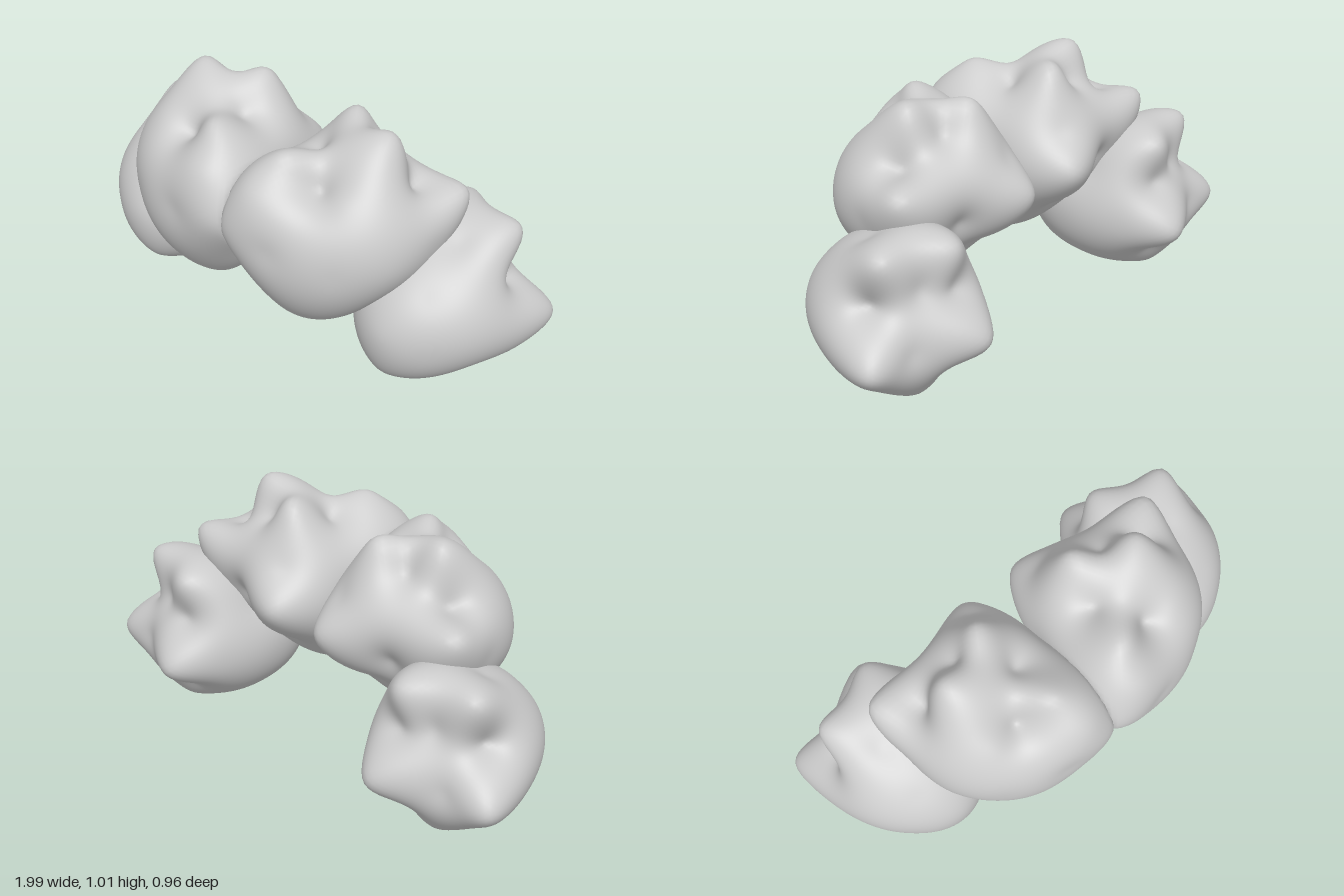
import * as THREE from 'three';
import { mergeVertices } from 'three/addons/utils/BufferGeometryUtils.js';

const V = (a) => new THREE.Vector3(...a);
// Radial kernel between two unit directions, slightly rounded at the tips
const kernel = (a, b) => Math.sqrt(a.distanceToSquared(b) + 0.012);
// Distance from the centre to an ellipsoid along a direction
const ellipsoid = (d, radii) => 1 / d.clone().divide(radii).length();

// Gaussian elimination with pivoting
function solve(A, b) {
  const n = b.length;
  for (let i = 0; i < n; i++) {
    let p = i;
    for (let r = i + 1; r < n; r++) if (Math.abs(A[r][i]) > Math.abs(A[p][i])) p = r;
    [A[i], A[p]] = [A[p], A[i]];
    [b[i], b[p]] = [b[p], b[i]];
    for (let r = i + 1; r < n; r++) {
      const f = A[r][i] / A[i][i];
      for (let c = i; c < n; c++) A[r][c] -= f * A[i][c];
      b[r] -= f * b[i];
    }
  }
  for (let i = n - 1; i >= 0; i--) {
    for (let c = i + 1; c < n; c++) b[i] -= A[i][c] * b[c];
    b[i] /= A[i][i];
  }
  return b;
}

// Ellipsoid pulled out to its tips and pushed in to its valleys
function tuftGeometry(tuft, side) {
  const centre = V(tuft.centre);
  const radii = V(tuft.radii);
  const offsets = [...tuft.tips, ...tuft.swells, ...tuft.valleys].map((p) => V(p).sub(centre));
  const dirs = offsets.map((o) => o.clone().normalize());
  const weights = solve(
    dirs.map((a) => dirs.map((b) => kernel(a, b))),
    offsets.map((o, i) => o.length() - ellipsoid(dirs[i], radii))
  );
  let geo = new THREE.IcosahedronGeometry(1, 22);
  geo.deleteAttribute('uv');
  geo.deleteAttribute('normal');
  geo = mergeVertices(geo, 1e-5);
  const pos = geo.attributes.position;
  const d = new THREE.Vector3();
  for (let i = 0; i < pos.count; i++) {
    d.fromBufferAttribute(pos, i).normalize();
    const r = dirs.reduce((s, k, j) => s + weights[j] * kernel(d, k), ellipsoid(d, radii));
    d.multiplyScalar(r).add(centre);
    // flat seam on the middle plane, standing on the ground
    pos.setXYZ(i, Math.max(d.x, 0) * side, Math.max(d.y, 0), d.z);
  }
  if (side < 0) {
    // keep faces outward on the mirrored side
    const idx = geo.index.array;
    for (let i = 0; i < idx.length; i += 3) [idx[i], idx[i + 1]] = [idx[i + 1], idx[i]];
  }
  geo.computeVertexNormals();
  return geo;
}

const upperTuft = {
  name: 'UpperTuft',
  centre: [0.32, 0.6, 0.1],
  radii: [0.35, 0.32, 0.36],
  tips: [
    [0.45, 1, 0.01], [0.23, 0.99, -0.08], [0.19, 0.93, 0.29],
    [0.66, 0.78, -0.14], [0.12, 0.63, -0.3], [0.2, 0.21, 0.22],
  ],
  swells: [
    [0, 0.63, 0.45], [0.22, 0.62, 0.465], [0.47, 0.58, 0.39], [0.62, 0.56, 0.23],
    [0.67, 0.62, 0.03], [0.52, 0.38, 0.14], [0.2, 0.38, 0.41], [0.42, 0.83, 0.28],
    [0, 0.62, 0.05], [0, 0.47, 0.25], [0.13, 0.82, 0.43],
  ],
  valleys: [
    [0.53, 0.78, -0.03], [0.34, 0.89, -0.05], [0.29, 0.82, 0.25], [0.19, 0.87, 0.1],
    [0.15, 0.76, -0.2], [0.38, 0.58, -0.17], [0.25, 0.42, -0.1],
  ],
};

const lowerTuft = {
  name: 'LowerTuft',
  centre: [0.65, 0.32, -0.05],
  radii: [0.32, 0.3, 0.32],
  tips: [
    [0.86, 0.62, -0.25], [0.98, 0.26, -0.33], [0.54, 0.27, -0.48],
    [0.57, 0.61, -0.36], [0.68, 0.01, -0.24],
  ],
  swells: [
    [0.6, 0.32, 0.28], [0.79, 0.27, 0.21], [0.98, 0.26, -0.13], [0.58, 0.1, 0.22],
    [0.58, 0.035, 0.03], [0.72, 0.61, -0.06], [0.72, 0.48, 0.16], [0.34, 0.26, -0.05],
    [0.42, 0.5, -0.1], [0.46, 0.07, -0.05],
  ],
  valleys: [
    [0.83, 0.44, -0.18], [0.8, 0.1, -0.05], [0.92, 0.15, -0.22], [0.8, 0.28, -0.35],
    [0.7, 0.5, -0.3], [0.57, 0.46, -0.33], [0.58, 0.15, -0.33], [0.4, 0.3, -0.31],
  ],
};

export function createModel() {
  const group = new THREE.Group();
  group.name = 'tuftedCrest';
  const material = new THREE.MeshStandardMaterial({ color: 0xcccccc });
  for (const side of [1, -1]) {
    for (const tuft of [upperTuft, lowerTuft]) {
      const mesh = new THREE.Mesh(tuftGeometry(tuft, side), material);
      mesh.name = (side > 0 ? 'left' : 'right') + tuft.name;
      group.add(mesh);
    }
  }
  return group;
}
